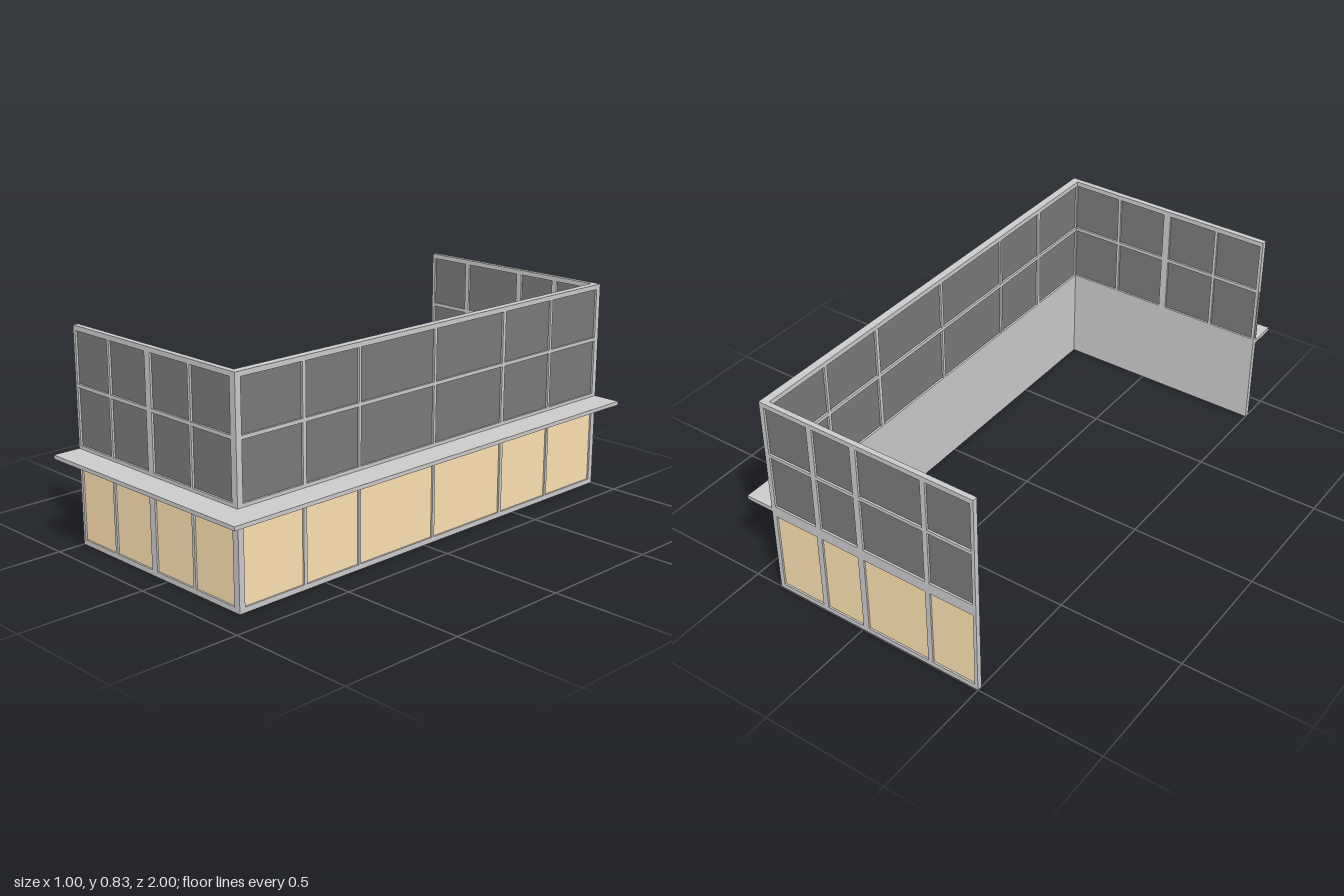
import * as THREE from 'three';

const grey = new THREE.MeshStandardMaterial({ color: 0xcccccc });
const tan = new THREE.MeshStandardMaterial({ color: 0xfde2b2 });
const dark = new THREE.MeshStandardMaterial({ color: 0x7a7a7a });

const HEIGHT = 0.832;
const RECESS = 0.008;
const PANEL_ROW = [0.02, 0.34];
const GLASS_ROWS = [[0.385, 0.603], [0.617, 0.813]];

function box(name, material, x0, x1, y0, y1, z0, z1) {
  const mesh = new THREE.Mesh(new THREE.BoxGeometry(x1 - x0, y1 - y0, z1 - z0), material);
  mesh.position.set((x0 + x1) / 2, (y0 + y1) / 2, (z0 + z1) / 2);
  mesh.name = name;
  return mesh;
}

// Upright sheet from u0 to u1 with a rectangular hole per column and row
function sheet(name, u0, u1, columns, rows, z, depth) {
  const rect = (path, a, b, c, d) =>
    path.moveTo(a, c).lineTo(b, c).lineTo(b, d).lineTo(a, d).closePath();
  const shape = rect(new THREE.Shape(), u0, u1, 0, HEIGHT);
  for (const [a, b] of columns)
    for (const [c, d] of rows) shape.holes.push(rect(new THREE.Path(), a, b, c, d));
  const geometry = new THREE.ExtrudeGeometry(shape, { depth, bevelEnabled: false });
  const mesh = new THREE.Mesh(geometry, grey);
  mesh.position.z = z;
  mesh.name = name;
  return mesh;
}

// Wall whose outside faces local +z: recessed panels below, windows above
function wall(name, u0, u1, thickness, columns) {
  const group = new THREE.Group();
  group.name = name;
  const inner = thickness - RECESS;
  group.add(sheet('innerFrame', u0, u1, columns, GLASS_ROWS, 0, inner));
  group.add(sheet('outerFrame', u0, u1, columns, [PANEL_ROW, ...GLASS_ROWS], inner, RECESS));
  for (const [a, b] of columns) {
    group.add(box('lowerPanel', tan, a, b, ...PANEL_ROW, inner - 0.002, inner + 0.001));
    for (const row of GLASS_ROWS)
      group.add(box('windowPane', dark, a, b, ...row, RECESS, inner));
  }
  return group;
}

export function createModel() {
  const model = new THREE.Group();
  model.name = 'counterEnclosure';

  const front = wall('frontWall', -0.5, 0.385, 0.022,
    [[-0.488, -0.302], [-0.29, -0.088], [-0.058, 0.143], [0.155, 0.357]]);
  front.position.z = 0.868;

  // Side wall fits between the front and back walls (local x runs along -z)
  const side = wall('sideWall', -0.868, 0.98, 0.03,
    [[-0.866, -0.6], [-0.585, -0.338], [-0.328, 0.04],
      [0.052, 0.415], [0.43, 0.693], [0.705, 0.978]]);
  side.rotation.y = Math.PI / 2;
  side.position.x = 0.355;

  // Back wall is turned around (local x runs along -x)
  const back = wall('backWall', -0.385, 0.5, 0.02,
    [[-0.366, -0.181], [-0.158, 0.003], [0.028, 0.29], [0.31, 0.487]]);
  back.rotation.y = Math.PI;
  back.position.z = -0.98;

  model.add(front, side, back);

  // Dark strip on the open end of the front wall
  model.add(box('endStrip', dark, -0.501, -0.499, 0.385, 0.603, 0.869, 0.889));

  // L-shaped counter ledge outside the front and side walls
  model.add(box('frontLedge', grey, -0.5, 0.385, 0.357, 0.372, 0.88, 1));
  model.add(box('sideLedge', grey, 0.385, 0.5, 0.357, 0.372, -1, 1));

  return model;
}
